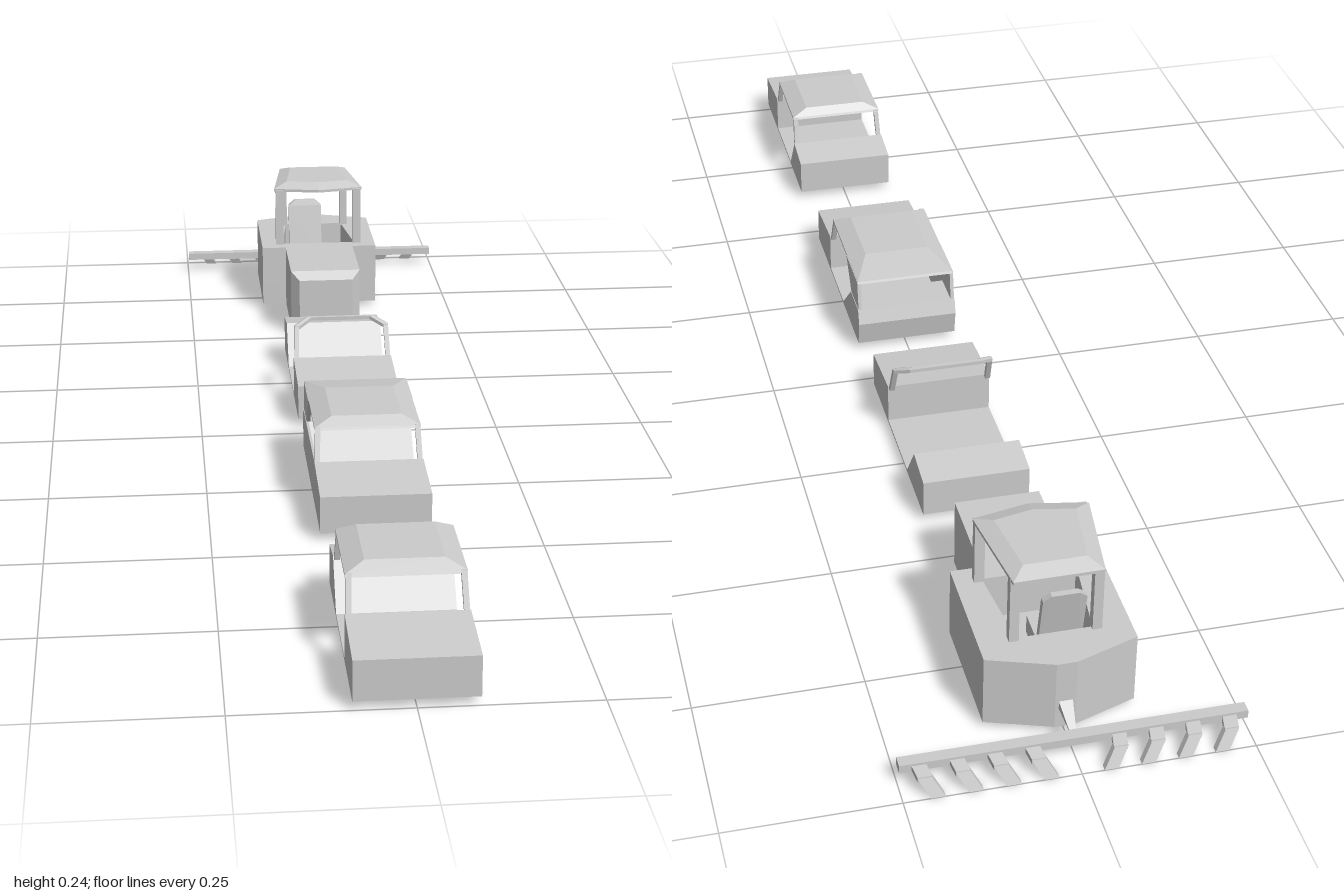
import * as THREE from 'three';
import { ConvexGeometry } from 'three/addons/geometries/ConvexGeometry.js';

const material = new THREE.MeshStandardMaterial({ color: 0xcccccc, flatShading: true, side: THREE.DoubleSide });

function add(group, name, geometry) {
  const mesh = new THREE.Mesh(geometry, material);
  mesh.name = name;
  group.add(mesh);
  return mesh;
}

// Convex solid around a few corner points
const hull = (points) => new ConvexGeometry(points.map((p) => new THREE.Vector3(...p)));

// Tapered solid from rectangular rings: [half width, y, front z, rear z]
const rings = (list) => hull(list.flatMap(([w, y, f, r]) => [[-w, y, f], [w, y, f], [-w, y, r], [w, y, r]]));

// Straight bar with an x by z section between two points
function bar(a, b, w, d, h = 0) {
  const corners = [];
  for (const p of [a, b]) for (const sx of [-1, 1]) for (const sz of [-1, 1]) for (const sy of h ? [-1, 1] : [0]) {
    corners.push([p[0] + sx * w / 2, p[1] + sy * h / 2, p[2] + sz * d / 2]);
  }
  return hull(corners);
}

const shapeOf = (pts) => new THREE.Shape(pts.map((p) => new THREE.Vector2(...p)));

// Side profile (z, y) pulled across the width
function acrossX(profile, x0, x1) {
  const g = new THREE.ExtrudeGeometry(shapeOf(profile), { depth: x1 - x0, bevelEnabled: false });
  return g.translate(0, 0, -x1).rotateY(-Math.PI / 2);
}

// Plan outline (x, -z) pulled upwards, with optional opening
function upwards(plan, y0, y1, opening) {
  const shape = shapeOf(plan);
  if (opening) shape.holes.push(shapeOf(opening));
  const g = new THREE.ExtrudeGeometry(shape, { depth: y1 - y0, bevelEnabled: false });
  return g.rotateX(-Math.PI / 2).translate(0, y0, 0);
}

const W = 0.085; // half width of a car

// Car with its nose at local z = 0, open at the sides
function makeCar(kind) {
  const car = new THREE.Group();
  car.name = kind;
  const wagon = kind === 'wagon';
  const rear = wagon
    ? [[-0.23, 0.017], [-0.3, 0.08], [-0.362, 0.08], [-0.37, 0.055], [-0.362, 0.013]]
    : [[-0.255, 0.017], [-0.305, 0.083], [-0.37, 0.073], [-0.37, 0.013]];
  add(car, 'body', acrossX(
    [[0, 0.013], [0, 0.072], [-0.115, 0.083], [-0.115, 0.017], ...rear], -W, W));

  for (const s of [-1, 1]) {
    add(car, 'windshieldPillar', bar([s * 0.08, 0.081, -0.12], [s * 0.078, 0.132, -0.14], 0.008, 0.008));
  }

  if (kind === 'convertible') {
    for (const s of [-1, 1]) {
      add(car, 'windshieldCorner', bar([s * 0.078, 0.13, -0.14], [s * 0.055, 0.14, -0.158], 0.008, 0.007, 0.006));
    }
    add(car, 'windshieldTop', bar([-0.055, 0.14, -0.158], [0.055, 0.14, -0.158], 0.008, 0.007, 0.006));
  } else if (wagon) {
    add(car, 'roof', rings([[0.083, 0.127, -0.135, -0.355], [0.083, 0.131, -0.137, -0.353], [0.055, 0.143, -0.157, -0.285]]));
    for (const s of [-1, 1]) {
      const x = s * 0.081;
      add(car, 'rearSidePanel', acrossX(
        [[-0.3, 0.08], [-0.26, 0.13], [-0.353, 0.13], [-0.362, 0.08]], x - 0.003, x + 0.003));
    }
    // door on one side only
    add(car, 'door', acrossX(
      [[-0.115, 0.015], [-0.115, 0.083], [-0.3, 0.08], [-0.23, 0.015]], -W, -W + 0.004));
  } else {
    add(car, 'roof', rings([[0.083, 0.127, -0.135, -0.292], [0.083, 0.131, -0.137, -0.29], [0.055, 0.143, -0.157, -0.277]]));
    for (const s of [-1, 1]) {
      add(car, 'rearPillar', bar([s * 0.08, 0.081, -0.3], [s * 0.078, 0.13, -0.287], 0.008, 0.008));
    }
  }
  return car;
}

function makeTractor() {
  const tractor = new THREE.Group();
  tractor.name = 'tractor';

  // Wide body with a sunken cockpit and a blunt pointed tail
  const plan = [[-0.11, 0.683], [0.11, 0.683], [0.11, 0.88], [0.015, 0.912], [-0.015, 0.912], [-0.11, 0.88]];
  const pit = [[-0.07, 0.71], [0.07, 0.71], [0.055, 0.845], [-0.055, 0.845]];
  add(tractor, 'lowerBody', upwards(plan, 0.01, 0.05));
  add(tractor, 'upperBody', upwards(plan, 0.05, 0.123, pit));

  // Hood with a chamfered nose
  const nose = [];
  for (const s of [-1, 1]) {
    for (const z of [-0.685, -0.527]) nose.push([s * 0.065, 0.01, z], [s * 0.065, 0.123, z]);
    nose.push([s * 0.05, 0.024, -0.51], [s * 0.05, 0.109, -0.51]);
  }
  add(tractor, 'hood', hull(nose));

  // Cab
  for (const s of [-1, 1]) {
    add(tractor, 'frontPost', bar([s * 0.075, 0.12, -0.71], [s * 0.075, 0.232, -0.71], 0.015, 0.012));
    add(tractor, 'rearPost', bar([s * 0.06, 0.12, -0.845], [s * 0.06, 0.232, -0.845], 0.014, 0.014));
  }
  const roof = [];
  for (const [k, y] of [[1, 0.229], [1, 0.234], [0.7, 0.243]]) {
    for (const [x, z] of [[-0.065, 0.08], [0.065, 0.08], [0.085, -0.07], [0, -0.087], [-0.085, -0.07]]) {
      roof.push([x * k, y, -0.78 - z * k]);
    }
  }
  add(tractor, 'cabRoof', hull(roof));

  // Seat
  const back = [];
  for (const [w, y, z] of [[0.032, 0.06, -0.8], [0.032, 0.168, -0.822], [0.02, 0.178, -0.825]]) {
    for (const s of [-1, 1]) back.push([-0.018 + s * w, y, z], [-0.018 + s * w, y, z - 0.01]);
  }
  add(tractor, 'seatBack', hull(back));
  add(tractor, 'seatCushion', new THREE.BoxGeometry(0.064, 0.03, 0.055).translate(-0.018, 0.065, -0.78));

  // Towed rake: arm, crossbar and hooked teeth
  add(tractor, 'rakeArm', hull([
    [-0.011, 0.06, -0.905], [0.011, 0.06, -0.905], [-0.011, 0.045, -0.905], [0.011, 0.045, -0.905],
    [-0.004, 0.037, -0.93], [0.004, 0.037, -0.93], [-0.004, 0.03, -0.955], [0.004, 0.03, -0.955],
  ]));
  add(tractor, 'rakeCrossbar', new THREE.BoxGeometry(0.496, 0.013, 0.018).translate(0, 0.0285, -0.957));
  for (const s of [-1, 1]) for (let i = 0; i < 4; i++) {
    const x = 0.221 - i * 0.053;
    add(tractor, 'rakeToothShank', bar([s * x, 0.0275, -0.962], [s * (x - 0.004), 0.0245, -0.985], 0.02, 0.004, 0.008));
    add(tractor, 'rakeToothTip', bar([s * (x - 0.004), 0.0275, -0.984], [s * (x - 0.02), 0, -0.995], 0.02, 0.01));
  }
  return tractor;
}

export function createModel() {
  const model = new THREE.Group();
  model.name = 'vehicleRow';
  [['sedan', 1], ['wagon', 0.454], ['convertible', -0.035]].forEach(([kind, z]) => {
    const car = makeCar(kind);
    car.position.z = z;
    model.add(car);
  });
  model.add(makeTractor());
  return model;
}
